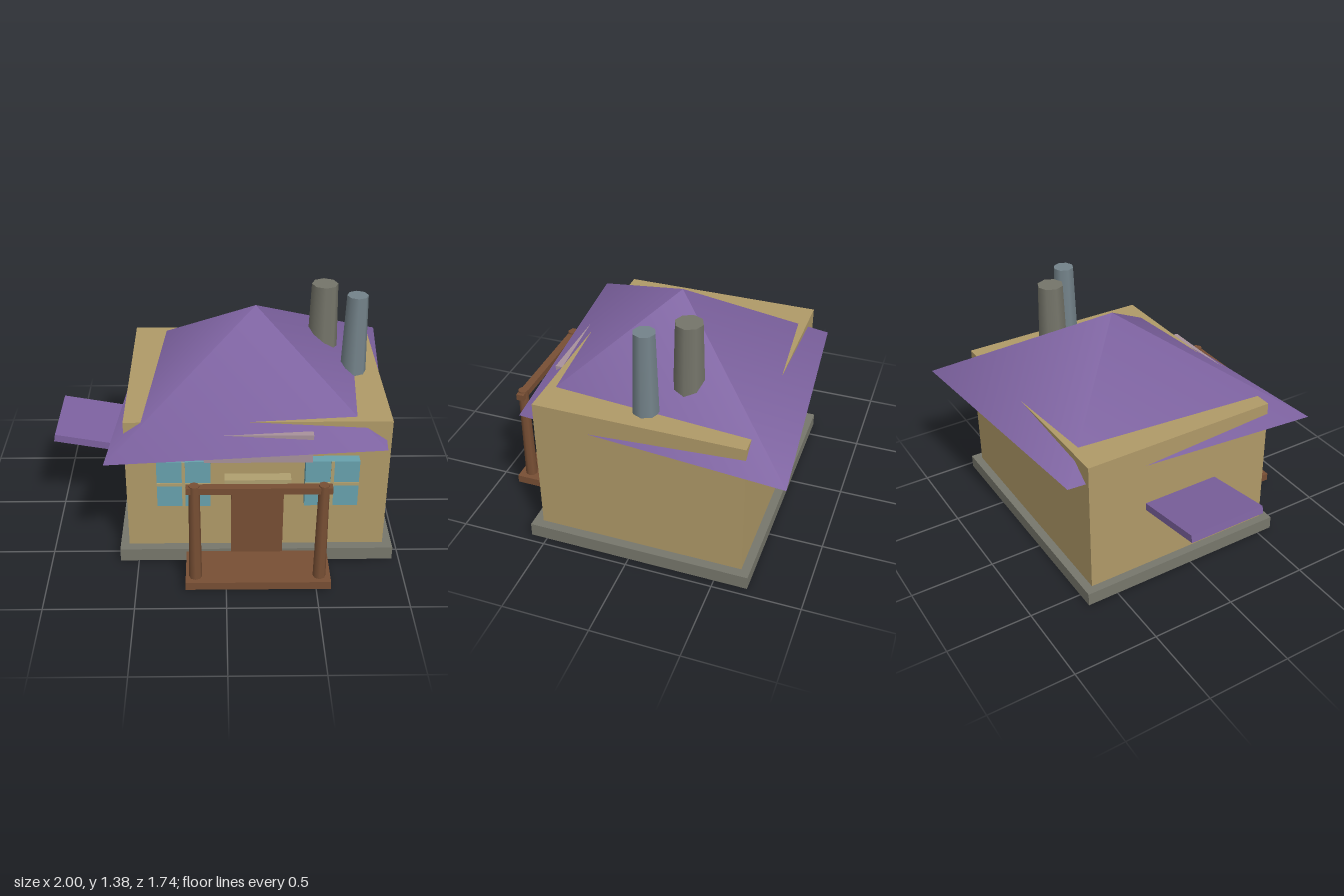
import * as THREE from 'three';

const mat = (color) => new THREE.MeshStandardMaterial({ color });
const M = {
  wall: mat(0xb09a68), stone: mat(0x77776c), roof: mat(0x7d62a0), wood: mat(0x784f34),
  glass: mat(0x68a2ae), trim: mat(0xb0a070), plaque: mat(0xa8929c),
  clay: mat(0x75756a), slate: mat(0x74838a),
};

export function createModel() {
  const group = new THREE.Group();

  function add(name, geometry, material) {
    const mesh = new THREE.Mesh(geometry, material);
    mesh.name = name;
    group.add(mesh);
    return mesh;
  }

  // Box given by its extents on each axis
  function box(name, material, [x0, x1], [y0, y1], [z0, z1]) {
    const mesh = add(name, new THREE.BoxGeometry(x1 - x0, y1 - y0, z1 - z0), material);
    mesh.position.set((x0 + x1) / 2, (y0 + y1) / 2, (z0 + z1) / 2);
    return mesh;
  }

  // Tapered eight-sided pillar standing between two heights
  function pillar(name, material, x, z, y0, y1, rTop, rBottom) {
    const mesh = add(name, new THREE.CylinderGeometry(rTop, rBottom, y1 - y0, 8), material);
    mesh.position.set(x, (y0 + y1) / 2, z);
    return mesh;
  }

  // House body and foundation
  box('walls', M.wall, [-0.555, 0.905], [0, 0.9], [-0.64, 0.538]);
  box('foundation', M.stone, [-0.605, 0.958], [0.005, 0.085], [-0.69, 0.592]);

  // Skewed pyramid roof: a stretched four-sided cone turned by 45 degrees
  const roof = new THREE.ConeGeometry(1, 0.54, 4);
  roof.scale(1.163, 1, 0.98).rotateY(Math.PI / 4);
  add('roof', roof, M.roof).position.set(0.177, 1.05, -0.052);

  // Chimneys
  pillar('rearChimney', M.clay, 0.586, -0.23, 0.9, 1.375, 0.077, 0.091);
  pillar('frontChimney', M.slate, 0.754, -0.05, 0.85, 1.38, 0.061, 0.077);

  // Sloping side awning
  const awning = box('sideAwning', M.roof, [-1.0, -0.5], [0.518, 0.563], [-0.285, 0.18]);
  awning.rotation.z = -0.18;
  awning.position.set(-0.75, 0.538, -0.052);

  // Windows with crossed glazing bars
  for (const [name, x] of [['right', -0.233], ['left', 0.585]]) {
    box(name + 'Window', M.glass, [x - 0.148, x + 0.148], [0.39, 0.682], [0.53, 0.595]);
    box(name + 'WindowUpright', M.trim, [x - 0.009, x + 0.009], [0.39, 0.682], [0.54, 0.6]);
    box(name + 'WindowCrossbar', M.trim, [x - 0.148, x + 0.148], [0.527, 0.545], [0.54, 0.6]);
  }

  // Door, lintel and the panel above
  box('door', M.wood, [0.03, 0.322], [0.003, 0.53], [0.53, 0.597]);
  box('doorLintel', M.trim, [-0.008, 0.36], [0.524, 0.568], [0.53, 0.605]);
  box('frontPanel', M.plaque, [-0.12, 0.472], [0.685, 0.858], [0.568, 0.608]);

  // Porch
  box('porchFloor', M.wood, [-0.225, 0.578], [0.02, 0.068], [0.59, 0.87]);
  for (const [name, x] of [['right', -0.17], ['left', 0.516]]) {
    pillar(name + 'PorchPost', M.wood, x, 0.808, 0.068, 0.676, 0.029, 0.036);
  }
  box('porchRail', M.wood, [-0.215, 0.562], [0.63, 0.668], [0.785, 0.83]);

  return group;
}
